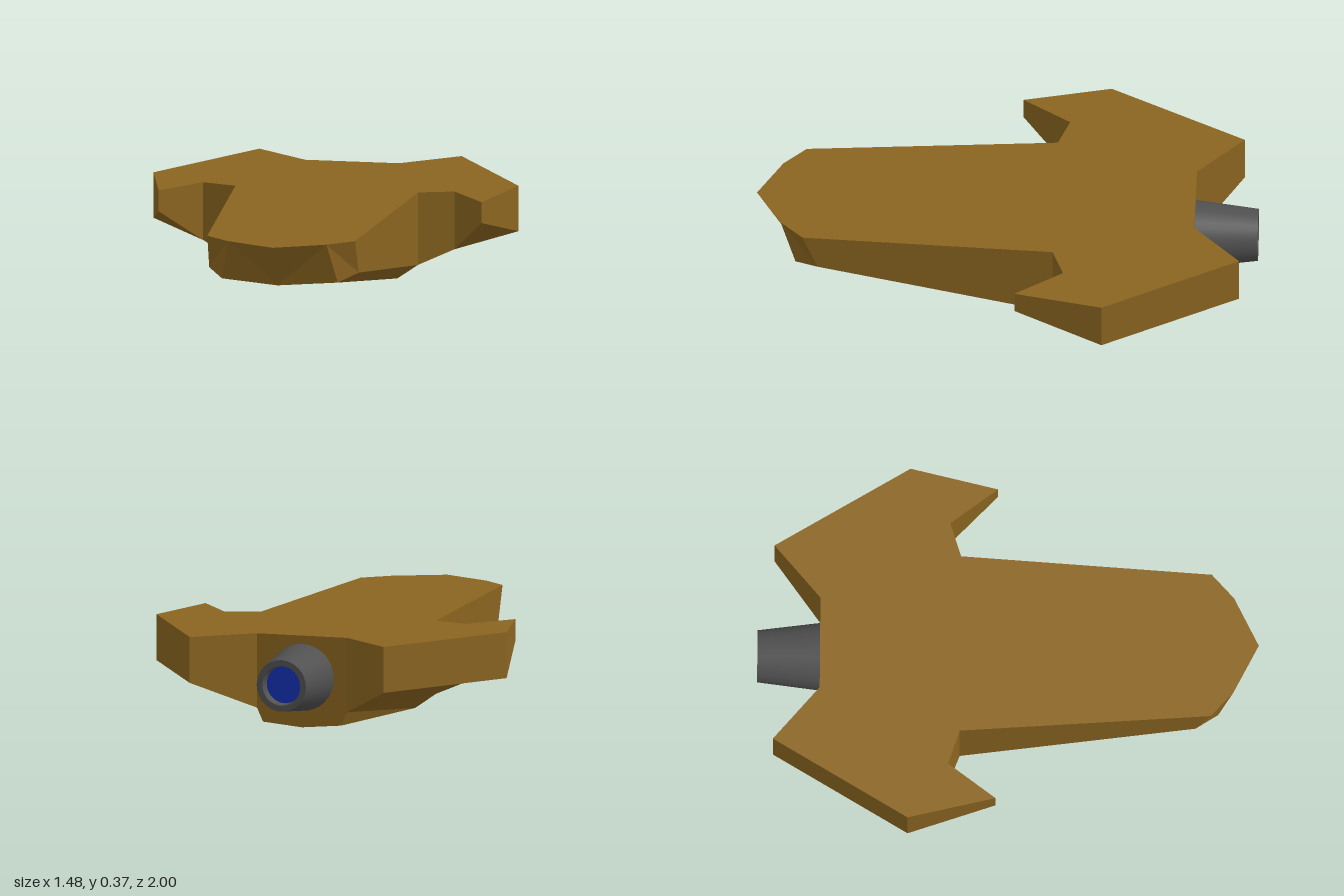
import * as THREE from 'three';

const TOP = 0.375; // height of the flat deck

// Rim of the +x half, nose to tail: [deck x, deck z, lower x, lower y, lower z]
const RIM = [
  [0, 1, 0, 0.2, 0.89],
  [0.2, 0.9, 0.235, 0.21, 0.84],
  [0.3, 0.81, 0.303, 0.235, 0.75],
  [0.37, -0.19, 0.37, 0.08, -0.19],
  [0.51, -0.235, 0.51, 0.14, -0.235],
  [0.655, -0.045, 0.655, 0.29, -0.045],
  [0.74, -0.395, 0.74, 0.19, -0.395],
  [0.41, -0.935, 0.41, 0.19, -0.935],
  [0.19, -0.75, 0.19, 0.075, -0.75],
];

// Flat-faced geometry from convex polygons, mirrored to both sides
function mirroredFaces(polygons) {
  const out = [];
  for (const p of polygons) {
    for (let i = 1; i < p.length - 1; i++) {
      const [a, b, c] = [p[0], p[i], p[i + 1]];
      out.push(...a, ...b, ...c);
      for (const v of [a, c, b]) out.push(-v[0], v[1], v[2]);
    }
  }
  const g = new THREE.BufferGeometry();
  g.setAttribute('position', new THREE.Float32BufferAttribute(out, 3));
  g.computeVertexNormals();
  return g;
}

export function createModel() {
  const group = new THREE.Group();
  const material = (color, extra = {}) => new THREE.MeshStandardMaterial({ color, ...extra });
  const add = (name, geometry, mat) => {
    const mesh = new THREE.Mesh(geometry, mat);
    mesh.name = name;
    group.add(mesh);
    return mesh;
  };
  const brown = material(0x8a6420, { flatShading: true });
  const black = material(0x050505, { flatShading: true });
  const grey = material(0x505050, { side: THREE.DoubleSide });
  const blue = material(0x1430b0);

  const deck = RIM.map(([x, z]) => [x, TOP, z]);
  const low = RIM.map(r => r.slice(2));
  const keelFront = [0, 0.005, -0.2], chineFront = [0.285, 0.02, -0.2];
  const keelBack = [0, 0.005, -0.75], chineBack = [0.165, 0.02, -0.75];

  // Flat deck
  const outline = [
    ...RIM.map(([x, z]) => new THREE.Vector2(x, -z)),
    ...RIM.slice(1).reverse().map(([x, z]) => new THREE.Vector2(-x, -z)),
  ];
  const deckGeometry = new THREE.ShapeGeometry(new THREE.Shape(outline));
  deckGeometry.rotateX(-Math.PI / 2).translate(0, TOP, 0);
  add('deck', deckGeometry, brown);

  // Side walls, with the nose split along its creases
  const walls = [];
  for (let i = 0; i < RIM.length - 1; i++) {
    if (i === 0) walls.push([deck[0], low[0], deck[1]], [deck[1], low[0], low[1]]);
    else walls.push([deck[i], low[i], low[i + 1], deck[i + 1]]);
  }
  add('hullSides', mirroredFaces(walls), brown);

  // Tail plate
  add('tailPlate', mirroredFaces([[deck[8], low[8], chineBack, keelBack, [0, TOP, -0.75]]]), brown);

  // Belly: bevels beside the front panel and the rear keel
  add('belly', mirroredFaces([
    [low[1], chineFront, low[3], low[2]],
    [keelFront, keelBack, chineBack, chineFront],
    [chineFront, chineBack, low[8], low[3]],
  ]), brown);
  add('bellyPanel', mirroredFaces([[low[0], keelFront, chineFront, low[1]]]), black);

  // Wing undersides fan out from the inner notch corner
  add('wingUndersides', mirroredFaces([
    [low[4], low[3], low[8]],
    [low[4], low[8], low[7]],
    [low[4], low[7], low[6]],
    [low[4], low[6], low[5]],
  ]), brown);

  // Engine nozzle: tapered barrel, flat rim and inner wall
  const engine = new THREE.Group();
  engine.name = 'engine';
  engine.position.set(0, 0.207, -0.75);
  engine.rotation.x = -Math.PI / 2; // local +y points backwards
  group.add(engine);
  const rings = [
    ['nozzleBarrel', new THREE.CylinderGeometry(0.104, 0.135, 0.25, 32, 1, true).translate(0, 0.125, 0), grey],
    ['nozzleRim', new THREE.RingGeometry(0.08, 0.104, 32).rotateX(-Math.PI / 2).translate(0, 0.25, 0), grey],
    ['nozzleInnerWall', new THREE.CylinderGeometry(0.08, 0.075, 0.04, 32, 1, true).translate(0, 0.23, 0), grey],
    ['engineGlow', new THREE.CircleGeometry(0.075, 32).rotateX(-Math.PI / 2).translate(0, 0.21, 0), blue],
  ];
  for (const [name, geometry, mat] of rings) engine.add(add(name, geometry, mat));

  return group;
}
